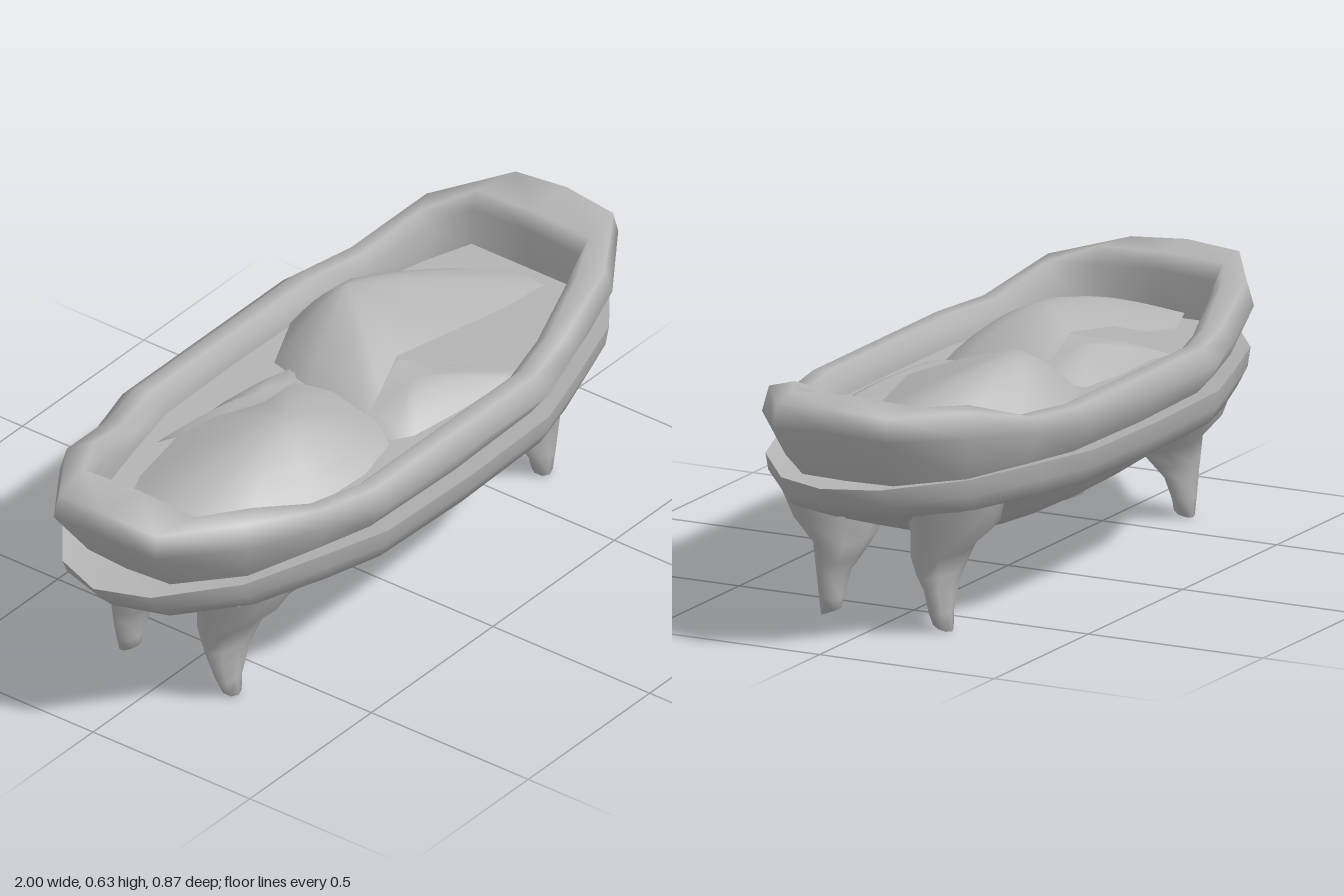
import * as THREE from 'three';
import { mergeVertices } from 'three/addons/utils/BufferGeometryUtils.js';

// Skin closed rings of [x, y, z] points, ordered from the top centre outward and down.
function skin(rings) {
  const n = rings[0].length, index = [];
  for (let r = 0; r < rings.length - 1; r++) {
    for (let i = 0; i < n; i++) {
      const j = (i + 1) % n;
      const a = r * n + i, b = r * n + j, c = a + n, d = b + n;
      index.push(a, b, c, b, d, c);
    }
  }
  const g = new THREE.BufferGeometry();
  g.setAttribute('position', new THREE.Float32BufferAttribute(rings.flat(2), 3));
  g.setIndex(index);
  const merged = mergeVertices(g, 1e-4);
  merged.computeVertexNormals();
  return merged;
}

// Mirror a quarter outline (from the +x end to the +z side) into a full ring.
function ring(q) {
  const last = q.length - 1;
  const rev = q.slice(0, last).reverse();
  return [
    ...q,
    ...rev.map(([x, y, z]) => [-x, y, z]),
    ...q.slice(1).map(([x, y, z]) => [-x, y, -z]),
    ...rev.slice(0, -1).map(([x, y, z]) => [x, y, -z]),
  ];
}
// Level quarter outline given as [x, z] pairs.
const level = (y, pairs) => ring(pairs.map(([x, z]) => [x, y, z]));
const point = (y) => Array.from({ length: 20 }, () => [0, y, 0]);

// Soft dome: shrink an outline toward a peak while the height follows a curve.
function dome(outline, peak, power) {
  const rings = [];
  for (let k = 0; k <= 5; k++) {
    const t = k / 5;
    rings.push(outline.map(([x, y, z]) => [
      peak[0] + (x - peak[0]) * t,
      peak[1] + (y - peak[1]) * Math.pow(t, power),
      peak[2] + (z - peak[2]) * t,
    ]));
  }
  return skin(rings);
}

export function createModel() {
  const model = new THREE.Group();
  model.name = 'bathShapedBed';
  const grey = new THREE.MeshStandardMaterial({ color: 0xb4b4b4, side: THREE.DoubleSide });
  grey.name = 'grey';
  const add = (name, geometry) => {
    const m = new THREE.Mesh(geometry, grey);
    m.name = name;
    model.add(m);
    return m;
  };

  // Rounded rail, low along the sides and raised at both ends
  const railInner = level(0.47, [[0.79, 0], [0.79, 0.18], [0.66, 0.225], [0.48, 0.27], [0.3, 0.31], [0, 0.315]]);
  const railFoot = level(0.42, [[0.86, 0], [0.85, 0.13], [0.7, 0.26], [0.5, 0.32], [0.33, 0.365], [0, 0.375]]);
  add('rail', skin([
    railInner,
    ring([[0.785, 0.59, 0], [0.785, 0.58, 0.17], [0.66, 0.57, 0.22], [0.48, 0.52, 0.27], [0.31, 0.515, 0.315], [0, 0.515, 0.315]]),
    ring([[0.81, 0.63, 0], [0.81, 0.622, 0.18], [0.67, 0.605, 0.25], [0.49, 0.545, 0.3], [0.33, 0.54, 0.34], [0, 0.54, 0.34]]),
    ring([[0.95, 0.63, 0], [0.94, 0.62, 0.155], [0.74, 0.605, 0.285], [0.5, 0.545, 0.34], [0.33, 0.538, 0.38], [0, 0.538, 0.38]]),
    ring([[0.96, 0.57, 0], [0.955, 0.56, 0.16], [0.75, 0.54, 0.3], [0.51, 0.51, 0.37], [0.33, 0.5, 0.425], [0, 0.5, 0.425]]),
    railFoot,
  ]));
  add('floor', skin([point(0.47), railInner]));

  // Skirt lip, then its rounded side flowing into the shallow hull
  const skirtLip = level(0.432, [[1, 0], [0.945, 0.14], [0.75, 0.29], [0.51, 0.37], [0.33, 0.425], [0, 0.435]]);
  add('skirtTop', skin([railFoot, skirtLip]));
  add('skirtAndHull', skin([
    skirtLip,
    level(0.385, [[0.965, 0], [0.92, 0.145], [0.735, 0.29], [0.5, 0.367], [0.33, 0.418], [0, 0.427]]),
    level(0.342, [[0.92, 0], [0.87, 0.145], [0.7, 0.28], [0.49, 0.352], [0.33, 0.395], [0, 0.405]]),
    level(0.335, [[0.79, 0], [0.77, 0.13], [0.64, 0.235], [0.46, 0.285], [0.3, 0.305], [0, 0.31]]),
    level(0.27, [[0.7, 0], [0.68, 0.13], [0.58, 0.22], [0.43, 0.255], [0.28, 0.275], [0, 0.28]]),
    level(0.21, [[0.51, 0], [0.49, 0.09], [0.43, 0.14], [0.34, 0.17], [0.22, 0.19], [0, 0.198]]),
    ring([[0.28, 0.183, 0], [0.27, 0.183, 0.04], [0.24, 0.183, 0.055], [0.19, 0.18, 0.065], [0.12, 0.178, 0.075], [0, 0.176, 0.08]]),
    point(0.162),
  ]));

  // Four tapered legs: each section is [y, xMin, xMax, zMin, zMax]
  const sections = [
    [0.34, 0.4, 0.785, 0.06, 0.29], [0.26, 0.43, 0.745, 0.07, 0.265], [0.2, 0.47, 0.735, 0.078, 0.2],
    [0.15, 0.525, 0.725, 0.1, 0.19], [0.11, 0.56, 0.715, 0.125, 0.182], [0.05, 0.6, 0.69, 0.13, 0.184],
    [0.01, 0.61, 0.67, 0.134, 0.186],
  ];
  const legRings = sections.map(([y, x0, x1, z0, z1], k) =>
    Array.from({ length: 8 }, (_, i) => {
      const a = (i / 8) * Math.PI * 2;
      const slant = k === sections.length - 1 ? -0.01 * Math.sin(a) : 0;
      return [(x0 + x1) / 2 + Math.cos(a) * (x1 - x0) / 2, y + slant, (z0 + z1) / 2 + Math.sin(a) * (z1 - z0) / 2];
    }));
  legRings.push(Array.from({ length: 8 }, () => [0.64, 0.01, 0.16]));
  const legGeometry = skin(legRings);
  for (const sx of [1, -1]) {
    for (const sz of [1, -1]) {
      add((sz > 0 ? 'front' : 'back') + (sx > 0 ? 'Left' : 'Right') + 'Leg', legGeometry).scale.set(sx, 1, sz);
    }
  }

  // Long cushion with a lifted back edge
  add('cushion', dome([
    [0.02, 0.5, 0], [-0.02, 0.49, 0.16], [-0.08, 0.48, 0.23], [-0.22, 0.48, 0.265], [-0.42, 0.48, 0.255],
    [-0.62, 0.48, 0.2], [-0.75, 0.48, 0.1], [-0.79, 0.49, 0], [-0.77, 0.49, -0.09], [-0.6, 0.5, -0.16],
    [-0.43, 0.53, -0.17], [-0.34, 0.56, -0.12], [-0.22, 0.565, -0.06], [-0.06, 0.53, -0.09],
  ], [-0.3, 0.61, 0.06], 1.6));

  // Turned corner of the cushion
  add('cushionCorner', dome([
    [0.03, 0.5, -0.16], [-0.05, 0.53, -0.085], [-0.22, 0.56, -0.06], [-0.35, 0.52, -0.14],
    [-0.43, 0.48, -0.24], [-0.36, 0.48, -0.215], [-0.2, 0.48, -0.22], [-0.04, 0.48, -0.2],
  ], [-0.18, 0.55, -0.12], 1.6));

  // Draped blanket with a lifted front edge
  add('blanket', dome([
    [0.74, 0.49, 0], [0.74, 0.48, 0.09], [0.55, 0.51, 0.1], [0.33, 0.56, 0.11], [0.16, 0.56, 0.07],
    [0.04, 0.53, 0.11], [-0.05, 0.5, 0.13], [-0.04, 0.52, -0.06], [0.03, 0.49, -0.22], [0.2, 0.49, -0.3],
    [0.44, 0.48, -0.28], [0.6, 0.48, -0.18], [0.7, 0.48, -0.08],
  ], [0.25, 0.635, -0.16], 1.45));

  // Turned corner of the blanket
  add('blanketCorner', dome([
    [0.39, 0.475, 0.27], [0.35, 0.475, 0.285], [0.15, 0.475, 0.27], [0, 0.475, 0.25], [-0.06, 0.48, 0.22],
    [-0.05, 0.5, 0.13], [0.04, 0.53, 0.11], [0.16, 0.55, 0.075], [0.29, 0.5, 0.15],
  ], [0.13, 0.54, 0.15], 1.6));

  return model;
}
